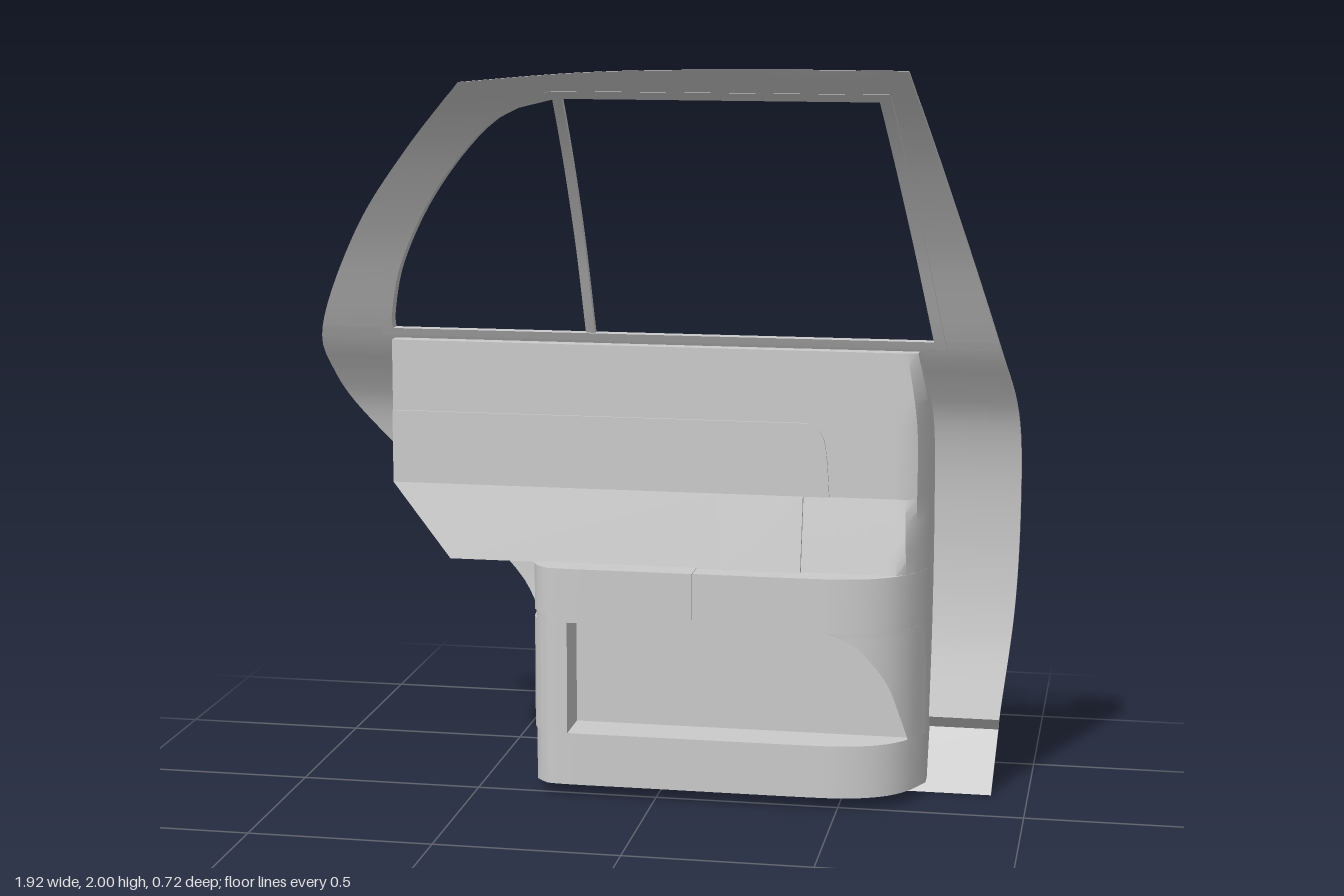
import * as THREE from 'three';
import { toCreasedNormals } from 'three/addons/utils/BufferGeometryUtils.js';
import { RoundedBoxGeometry } from 'three/addons/geometries/RoundedBoxGeometry.js';

const material = new THREE.MeshStandardMaterial({ color: 0xcccccc, side: THREE.DoubleSide });

// Smooth function b(a) through a few [a, b] points
function profile(points) {
  const curve = new THREE.SplineCurve(points.map(p => new THREE.Vector2(...p)));
  const pts = curve.getPoints(points.length * 12);
  return a => {
    if (a <= pts[0].x) return pts[0].y;
    for (let i = 1; i < pts.length; i++) {
      if (a <= pts[i].x) {
        const k = (a - pts[i - 1].x) / (pts[i].x - pts[i - 1].x || 1);
        return pts[i - 1].y + k * (pts[i].y - pts[i - 1].y);
      }
    }
    return pts[pts.length - 1].y;
  };
}
const mix = THREE.MathUtils.lerp;
const steps = (a, b, n) => Array.from({ length: n + 1 }, (_, i) => mix(a, b, i / n));

// Door section: depth of the outer skin at each height
const upperSkin = profile([[0.2, -0.257], [0.4, -0.305], [0.58, -0.325], [0.75, -0.323], [0.9, -0.305],
  [1.03, -0.268], [1.13, -0.21], [1.25, -0.132], [1.5, -0.005], [1.7, 0.118], [1.85, 0.225], [2, 0.345]]);
const skinZ = y => y < 0.165 ? mix(-0.205, -0.285, y / 0.165)
  : y < 0.2 ? mix(-0.285, -0.257, (y - 0.165) / 0.035) : upperSkin(y);

// Outline edges by height
const rearEdge = profile([[0, -0.335], [0.28, -0.355], [0.48, -0.41], [0.62, -0.52], [0.85, -0.75], [1.02, -0.9],
  [1.13, -0.95], [1.24, -0.96], [1.41, -0.89], [1.6, -0.775], [1.78, -0.625], [1.92, -0.49], [1.96, -0.45]]);
const frontEdge = profile([[0, 0.9], [0.2, 0.915], [0.5, 0.947], [0.8, 0.957], [1.05, 0.95], [1.24, 0.908],
  [1.6, 0.807], [2, 0.695]]);
const SILL = 1.265, HEAD = 1.92;
const windowRear = profile([[SILL, -0.75], [1.31, -0.745], [1.45, -0.7], [1.62, -0.6], [1.78, -0.465],
  [1.88, -0.34], [HEAD, -0.2]]);
const windowFront = y => mix(0.73, 0.62, (y - SILL) / (HEAD - SILL));
const roofLine = profile([[-0.49, 1.955], [-0.45, 1.96], [-0.1, 1.99], [0.3, 2], [0.72, 2]]);

export function createModel() {
  const door = new THREE.Group();
  door.name = 'carDoor';

  function add(name, geometry, x = 0, y = 0, z = 0) {
    const mesh = new THREE.Mesh(geometry, material);
    mesh.name = name;
    mesh.position.set(x, y, z);
    door.add(mesh);
    return mesh;
  }

  // Solid sheet: at(u, v) gives [x, y]; front and back give the depth of its two faces
  function sheet(name, at, rows, nu, front, back) {
    const pos = [], index = [], n = 2 * (nu + 1);
    rows.forEach(v => {
      for (let j = 0; j < n; j++) {
        const isFront = j <= nu;
        const [x, y] = at((isFront ? j : n - 1 - j) / nu, v);
        pos.push(x, y, isFront ? front(x, y) : back(x, y));
      }
    });
    for (let i = 0; i < rows.length - 1; i++) {
      for (let j = 0; j < n; j++) {
        const a = i * n + j, b = i * n + (j + 1) % n;
        index.push(a, b, b + n, a, b + n, a + n);
      }
    }
    const top = (rows.length - 1) * n;
    for (let j = 0; j < nu; j++) {
      const a = j, b = j + 1, c = n - 2 - j, d = n - 1 - j;
      index.push(a, c, b, a, d, c, top + a, top + b, top + c, top + a, top + c, top + d);
    }
    const geometry = new THREE.BufferGeometry();
    geometry.setAttribute('position', new THREE.Float32BufferAttribute(pos, 3));
    geometry.setIndex(index);
    add(name, toCreasedNormals(geometry, 0.5));
  }
  // Sheet whose rows are heights, spanning left(y) to right(y)
  const span = (left, right) => (u, y) => [mix(left(y), right(y), u), y];
  const is = value => () => value;
  const offset = d => (x, y) => skinZ(y) + d;
  const inner = offset(0.02), outer = offset(0), behind = offset(0.012);

  // Outer skin and window frame
  sheet('outerSkin', span(rearEdge, frontEdge), [0, 0.165, ...steps(0.2, SILL, 36)], 2, inner, outer);
  sheet('rearWindowPost', span(rearEdge, windowRear), steps(SILL, HEAD, 26), 2, inner, outer);
  sheet('frontWindowPost', span(windowFront, frontEdge), steps(SILL, HEAD, 26), 2, inner, outer);
  sheet('windowHeader', (u, v) => {
    const x = mix(mix(-0.49, -0.45, v), mix(0.717, 0.695, v), u);
    return [x, mix(HEAD, roofLine(x), v)];
  }, steps(0, 1, 4), 24, inner, outer);

  // Seal running round the window opening
  const ys = steps(SILL, HEAD, 24);
  const loop = [[-0.75, SILL], ...ys.map(y => [windowFront(y), y]),
    ...ys.slice().reverse().map(y => [windowRear(y), y])];
  sheet('windowSeal', (u, i) => {
    const [x, y] = loop[i];
    return [x * (1 + 0.045 * u), 1.59 + (y - 1.59) * (1 + 0.06 * u)];
  }, loop.map((_, i) => i), 1, offset(0.032), offset(-0.005));
  sheet('windowDivider', span(is(-0.212), is(-0.187)), ys, 1, offset(0.022), offset(0.002));
  sheet('outerBeltStrip', span(is(-0.77), is(0.9)), [1.242, 1.25, 1.262], 1, inner, offset(-0.01));

  // Upper door card with a raised insert
  const cornerZ = profile([[-0.35, -0.08], [-0.34, -0.02], [-0.31, 0.02], [-0.26, 0.036], [0, 0.036], [0.4, 0.035],
    [0.53, 0.025], [0.62, -0.01], [0.68, -0.07], [0.722, -0.16]]);
  const round = (x, z) => x < 0.4 ? z : Math.min(z, cornerZ(x));
  const cardFront = profile([[0.84, 0.722], [1.05, 0.719], [1.235, 0.69]]);
  sheet('upperCard', span(is(-0.75), cardFront), steps(0.84, 1.235, 12), 50, x => round(x, -0.08), behind);
  const insertFront = profile([[0.84, 0.458], [0.95, 0.45], [1.01, 0.437], [1.04, 0.40]]);
  sheet('cardInsert', span(is(-0.75), insertFront), steps(0.84, 1.04, 12), 1, is(-0.073), is(-0.1));

  // Sloping middle card, its trim and the pull grip
  const slope = y => -0.038 - 0.21 * (y - 0.64);
  const slopeRear = y => mix(-0.58, -0.75, (y - 0.64) / 0.2);
  const gripRear = y => mix(0.172, 0.157, (y - 0.64) / 0.2);
  sheet('middleCard', span(slopeRear, is(0.722)), steps(0.64, 0.84, 6), 50, (x, y) => round(x, slope(y)), behind);
  sheet('middleTrim', span(slopeRear, gripRear), [0.64, 0.84], 1, (x, y) => slope(y) + 0.008, (x, y) => slope(y) - 0.02);
  sheet('pullGrip', span(gripRear, is(0.388)), [0.64, 0.84], 1, (x, y) => slope(y) + 0.014, (x, y) => slope(y) - 0.02);

  // Lower card built round an open map pocket
  const low = x => cornerZ(x);
  const pocketFront = profile([[0.18, 0.68], [0.25, 0.66], [0.35, 0.625], [0.44, 0.56], [0.47, 0.52], [0.49, 0.47]]);
  sheet('lowerCardBase', span(is(-0.35), is(0.722)), steps(0.035, 0.18, 4), 60, low, behind);
  sheet('armrest', span(is(-0.35), is(0.722)), steps(0.49, 0.64, 4), 60, low, behind);
  sheet('pocketRearPost', span(is(-0.35), is(-0.24)), steps(0.18, 0.49, 6), 16, low, behind);
  sheet('pocketFrontPost', span(pocketFront, is(0.722)), steps(0.18, 0.49, 16), 16, low, behind);
  sheet('pocketBack', span(is(-0.25), is(0.69)), steps(0.17, 0.5, 6), 1, is(-0.09), behind);
  sheet('armrestPad', span(is(-0.352), is(0.105)), [0.515, 0.642], 30, x => cornerZ(x) + 0.01, is(-0.09));

  // Outer rubbing strip with a slanted rear end
  const bulge = profile([[0.465, -0.325], [0.485, -0.345], [0.55, -0.354], [0.61, -0.347], [0.635, -0.33]]);
  sheet('rubbingStrip', span(y => mix(-0.28, -0.345, (y - 0.465) / 0.17), is(0.905)), steps(0.465, 0.635, 10), 1,
    offset(0.005), (x, y) => bulge(y));

  // Outer handle: bar, end block and the rim of the finger cup
  add('handleBar', new RoundedBoxGeometry(0.38, 0.042, 0.035, 3, 0.012), -0.54, 1.035, -0.277);
  add('handleEnd', new RoundedBoxGeometry(0.1, 0.055, 0.04, 3, 0.012), -0.68, 1.032, -0.275);
  const rim = [];
  for (let i = 0; i < 48; i++) {
    const a = i / 48 * Math.PI * 2, c = Math.cos(a), s = Math.sin(a);
    const y = 0.985 + 0.057 * Math.sign(s) * Math.sqrt(Math.abs(s));
    rim.push(new THREE.Vector3(-0.49 + 0.13 * Math.sign(c) * Math.sqrt(Math.abs(c)), y, skinZ(y)));
  }
  add('handleCupRim', new THREE.TubeGeometry(new THREE.CatmullRomCurve3(rim, true), 96, 0.006, 6, true));

  return door;
}
